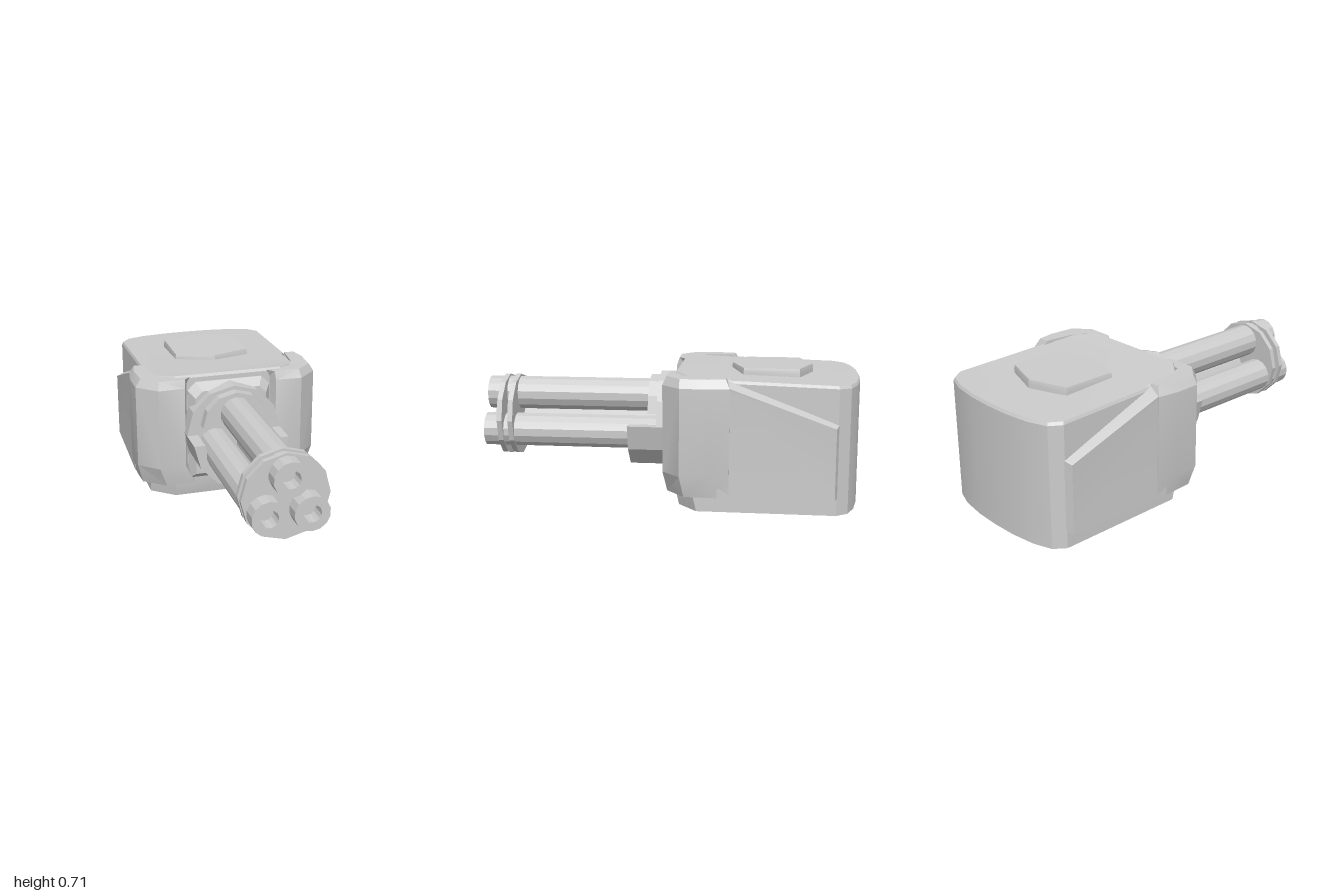
import * as THREE from 'three';
import { toCreasedNormals } from 'three/addons/utils/BufferGeometryUtils.js';

const smooth = new THREE.MeshStandardMaterial({ color: 0xcccccc });
const flat = new THREE.MeshStandardMaterial({ color: 0xcccccc, flatShading: true });

function add(parent, name, geometry, material = flat) {
  const mesh = new THREE.Mesh(geometry, material);
  mesh.name = name;
  parent.add(mesh);
  return mesh;
}

// Closed solid through rings of [x, y, z] points; u and v are the axes the caps are flattened on.
function loft(rings, u, v, crease = 0.35) {
  const n = rings[0].length;
  const tris = [];
  for (let r = 0; r < rings.length - 1; r++) {
    for (let i = 0; i < n; i++) {
      const j = (i + 1) % n;
      const [a, b, c, d] = [rings[r][i], rings[r][j], rings[r + 1][j], rings[r + 1][i]];
      tris.push([a, b, c], [a, c, d]);
    }
  }
  const cap = (ring, reversed) => {
    const contour = ring.map(p => new THREE.Vector2(p[u], p[v]));
    const turned = THREE.ShapeUtils.isClockWise(contour);
    const source = turned ? [...ring].reverse() : ring;
    if (turned) contour.reverse();
    for (const [a, b, c] of THREE.ShapeUtils.triangulateShape(contour, [])) {
      const t = [source[a], source[b], source[c]];
      tris.push(turned !== reversed ? t.reverse() : t);
    }
  };
  cap(rings[0], true);
  cap(rings[rings.length - 1], false);
  // A negative volume means the faces point inward
  let volume = 0;
  for (const [a, b, c] of tris) {
    volume += new THREE.Vector3(...a).dot(new THREE.Vector3(...b).cross(new THREE.Vector3(...c)));
  }
  if (volume < 0) tris.forEach(t => t.reverse());
  const geometry = new THREE.BufferGeometry();
  geometry.setAttribute('position', new THREE.Float32BufferAttribute(tris.flat(2), 3));
  return toCreasedNormals(geometry, crease);
}

// Disc or cylinder along z between two depths
function rod(radius, sides, z0, z1, y) {
  return new THREE.CylinderGeometry(radius, radius, z1 - z0, sides)
    .rotateX(Math.PI / 2).translate(0, y, (z0 + z1) / 2);
}

function extrudeZ(shape, z0, z1) {
  return new THREE.ExtrudeGeometry(shape, { depth: z1 - z0, bevelEnabled: false }).translate(0, 0, z0);
}

function arc(radius, y, from, to, steps) {
  return Array.from({ length: steps + 1 }, (_, i) => {
    const a = from + (to - from) * i / steps;
    return new THREE.Vector2(radius * Math.cos(a), y + radius * Math.sin(a));
  });
}

function buildBody(group) {
  const half = [[0.30, -0.05], [0.42, -0.15], [0.42, -0.22], [0.425, -0.88],
    [0.38, -0.94], [0.28, -0.975], [0.14, -0.995]];
  const outline = [...half, [0, -1], ...half.map(([x, z]) => [-x, z]).reverse()];
  const roof = z => (z > -0.2 ? 0.695 + (z + 0.2) * 0.13 : 0.695 + (z + 0.2) * 0.03);
  const ring = (height, inset, front = 0) => outline.map(([x, z]) => [
    x * inset, height(z), (z + 0.5) * inset - 0.5 - (z > -0.2 ? front : 0)]);
  add(group, 'turretBody', loft([
    ring(() => 0.01, 1, 0.02), ring(() => 0.10, 1),
    ring(z => roof(z) - 0.015, 1), ring(roof, 0.985),
  ], 0, 2), smooth);

  // Six-sided roof hatch
  const hatch = [[0, -0.755], [0.21, -0.685], [0.21, -0.395], [0, -0.325], [-0.21, -0.395], [-0.21, -0.685]];
  const level = (y, s) => hatch.map(([x, z]) => [x * s, y, (z + 0.54) * s - 0.54]);
  add(group, 'roofHatch', loft([level(0.66, 1), level(0.705, 1), level(0.722, 0.98)], 0, 2), smooth);
}

function buildArmour(group, side) {
  const prefix = side > 0 ? 'left' : 'right';
  // Front cheek: plan outline tapered at top and bottom
  const middle = [[0.23, -0.06], [0.255, 0], [0.40, 0.005], [0.503, -0.09], [0.505, -0.23],
    [0.488, -0.34], [0.41, -0.34], [0.395, -0.17], [0.36, -0.085]];
  const top = [[0.20, -0.065], [0.25, -0.015], [0.39, -0.015], [0.475, -0.09], [0.482, -0.23],
    [0.465, -0.32], [0.41, -0.32], [0.395, -0.17], [0.36, -0.085]];
  const bottom = [[0.195, -0.05], [0.20, -0.015], [0.36, -0.015], [0.475, -0.11], [0.482, -0.23],
    [0.482, -0.34], [0.41, -0.34], [0.395, -0.17], [0.36, -0.085]];
  const level = (points, y) => points.map(([x, z]) => [side * x, y, z]);
  add(group, prefix + 'CheekArmour', loft([
    level(bottom, 0.10), level(middle, 0.21), level(middle, 0.66), level(top, 0.705),
  ], 0, 2), smooth);

  // Side plate with a sloping upper edge
  const inner = [[0.40, 0.10, -0.28], [0.40, 0.10, -0.89], [0.40, 0.485, -0.89], [0.40, 0.70, -0.32], [0.40, 0.70, -0.28]];
  const outer = [[0.485, 0.10, -0.28], [0.465, 0.10, -0.87], [0.465, 0.465, -0.87], [0.485, 0.665, -0.33], [0.485, 0.665, -0.28]];
  const mirror = points => points.map(([x, y, z]) => [side * x, y, z]);
  add(group, prefix + 'SidePlate', loft([mirror(inner), mirror(outer)], 2, 1), smooth);
}

function buildMount(group) {
  // Bevelled block behind the round mount
  const block = [[-0.23, 0.12], [0.23, 0.12], [0.23, 0.63], [0.185, 0.675], [-0.185, 0.675], [-0.23, 0.63]];
  const slice = (z, s) => block.map(([x, y]) => [x * s, (y - 0.4) * s + 0.4, z]);
  add(group, 'mountBlock', loft([slice(-0.12, 1), slice(-0.045, 1), slice(0.005, 0.86)], 0, 1), smooth);
  add(group, 'mountDisc', rod(0.26, 12, -0.06, 0.055, 0.41));

  // Open cradle under the barrels
  const cradle = [...arc(0.26, 0.41, Math.PI, 2 * Math.PI, 6), ...arc(0.2, 0.41, 2 * Math.PI, Math.PI, 6)];
  add(group, 'barrelCradle', extrudeZ(new THREE.Shape(cradle), 0, 0.21));

  // Arch over the top barrel
  add(group, 'barrelArch', extrudeZ(new THREE.Shape(arc(0.185, 0.465, 0, Math.PI, 6)), 0.04, 0.11));
}

function buildBarrels(group) {
  const profile = [[0.09, 0], [0.09, 1], [0.045, 1], [0.045, 0.92], [0, 0.92]]
    .map(([r, h]) => new THREE.Vector2(r, h));
  [[0, 0.535], [0.105, 0.35], [-0.105, 0.35]].forEach(([x, y], i) => {
    const barrel = new THREE.LatheGeometry(profile, 14).rotateX(Math.PI / 2);
    add(group, 'barrel' + (i + 1), barrel).position.set(x, y, 0);
  });
  // Paired clamp discs near the muzzles
  for (const z of [0.835, 0.893]) add(group, 'barrelClamp', rod(0.222, 12, z, z + 0.027, 0.415));
}

export function createModel() {
  const model = new THREE.Group();
  model.name = 'gunTurret';
  buildBody(model);
  for (const side of [1, -1]) buildArmour(model, side);
  buildMount(model);
  buildBarrels(model);
  return model;
}
